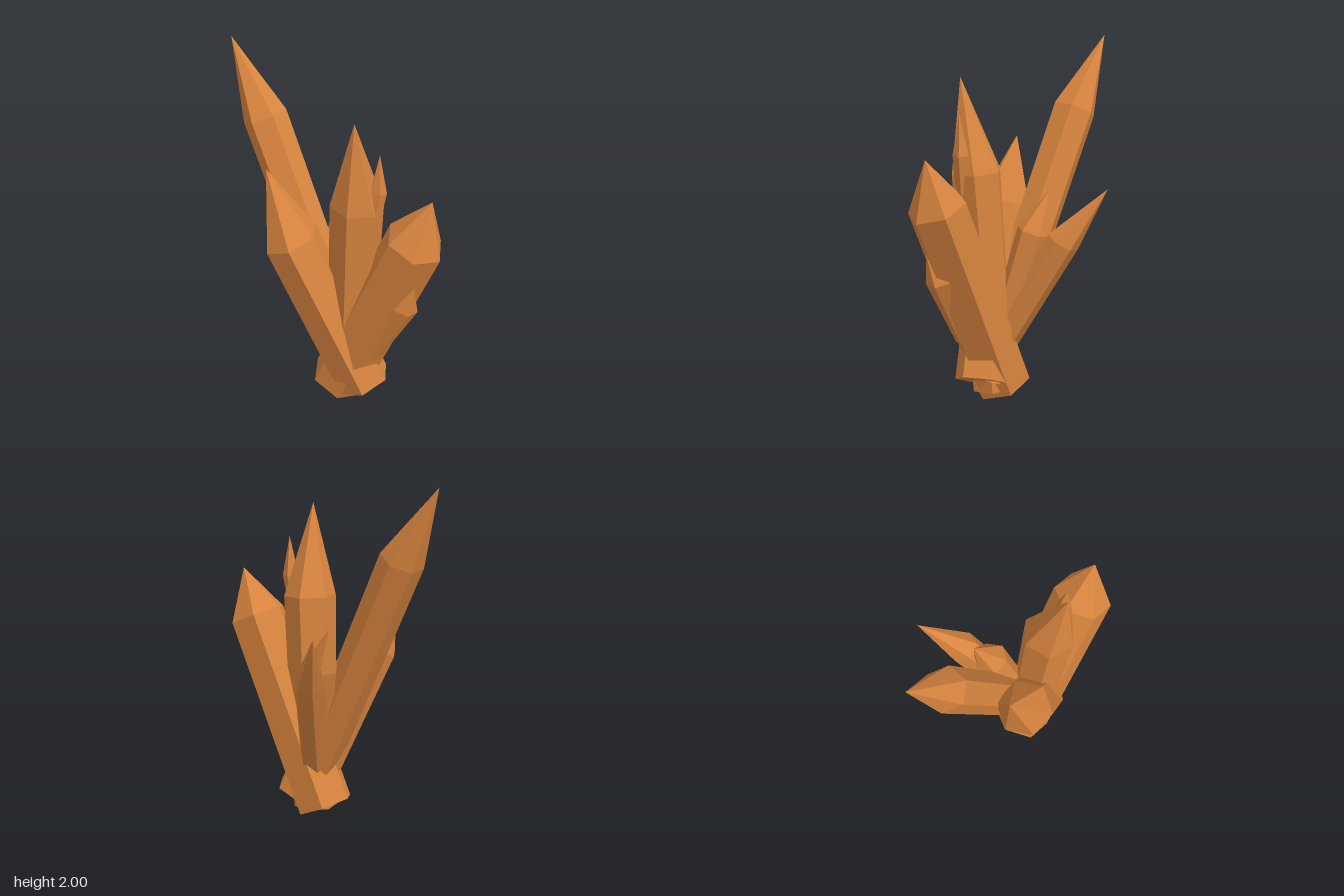
import * as THREE from 'three';

const amber = new THREE.MeshStandardMaterial({ color: 0xd9853f, flatShading: true });
amber.name = 'amber crystal';

// Skin a list of rings (equal point counts) with flat triangles, bottom to top
function loft(rings) {
  const pos = [];
  const tri = (a, b, c) => pos.push(...a.toArray(), ...b.toArray(), ...c.toArray());
  for (let r = 0; r < rings.length - 1; r++) {
    const lo = rings[r], hi = rings[r + 1], n = lo.length;
    for (let i = 0; i < n; i++) {
      const j = (i + 1) % n;
      tri(lo[i], hi[i], lo[j]);
      tri(lo[j], hi[i], hi[j]);
    }
  }
  const geo = new THREE.BufferGeometry();
  geo.setAttribute('position', new THREE.Float32BufferAttribute(pos, 3));
  geo.computeVertexNormals();
  return geo;
}

// Faceted shaft from a flat base to its shoulder, closed by a pointed end at tip
function crystal({ name, base, shoulder, tip, r, taper = 0.9, sides = 6, phase = 0 }) {
  const b = new THREE.Vector3(...base), s = new THREE.Vector3(...shoulder), t = new THREE.Vector3(...tip);
  const axis = s.clone().sub(b).normalize();
  const u = new THREE.Vector3(1, 0, 0).addScaledVector(axis, -axis.x).normalize();
  const v = u.clone().cross(axis);
  const ring = (c, rad) => Array.from({ length: sides }, (_, i) => {
    const a = THREE.MathUtils.degToRad(phase) + (i / sides) * Math.PI * 2;
    return c.clone().addScaledVector(u, Math.cos(a) * rad).addScaledVector(v, Math.sin(a) * rad);
  });
  const mesh = new THREE.Mesh(loft([ring(b, 0), ring(b, r * taper), ring(s, r), ring(t, 0)]), amber);
  mesh.name = name;
  return mesh;
}

export function createModel() {
  const group = new THREE.Group();
  group.name = 'crystalCluster';
  const crystals = [
    // Large crystals crossing at the foot, where their flat ends show
    { name: 'tallBackCrystal', base: [0.165, 0.11, 0.17], shoulder: [-0.405, 1.585, -0.21], tip: [-0.6, 2, -0.34], r: 0.125, taper: 0.95 },
    { name: 'leftLeaningCrystal', base: [0.185, 0.105, 0.17], shoulder: [-0.222, 1.03, 0.17], tip: [-0.36, 1.43, 0.12], r: 0.16, taper: 1, phase: 28 },
    { name: 'centreCrystal', base: [0.1, 0.05, 0.13], shoulder: [0.14, 1.29, 0.215], tip: [0.13, 1.81, 0.305], r: 0.148, taper: 0.85, phase: 47 },
    { name: 'rightLeaningCrystal', base: [0.04, 0.064, 0.1], shoulder: [0.46, 1.14, 0.335], tip: [0.545, 1.41, 0.37], r: 0.168, taper: 1, phase: 30 },
    { name: 'backCrystal', base: [0.1, 0.2, 0.15], shoulder: [0.085, 0.91, -0.265], tip: [0.04, 1.21, -0.505], r: 0.092, phase: 15 },
    // Smaller crystals growing against the large ones
    { name: 'innerBackCrystal', base: [0.09, 0.2, 0.12], shoulder: [0.042, 0.95, -0.09], tip: [-0.01, 1.19, -0.17], r: 0.098, phase: 30 },
    { name: 'slimCrystal', base: [0.2, 1.08, 0.265], shoulder: [0.255, 1.4, 0.262], tip: [0.262, 1.62, 0.27], r: 0.048, sides: 5 },
    { name: 'sideShoot', base: [0.25, 0.36, 0.26], shoulder: [0.41, 0.74, 0.335], tip: [0.465, 0.89, 0.4], r: 0.085, taper: 0.5, phase: 10 },
  ];
  crystals.forEach((c) => group.add(crystal(c)));
  return group;
}
